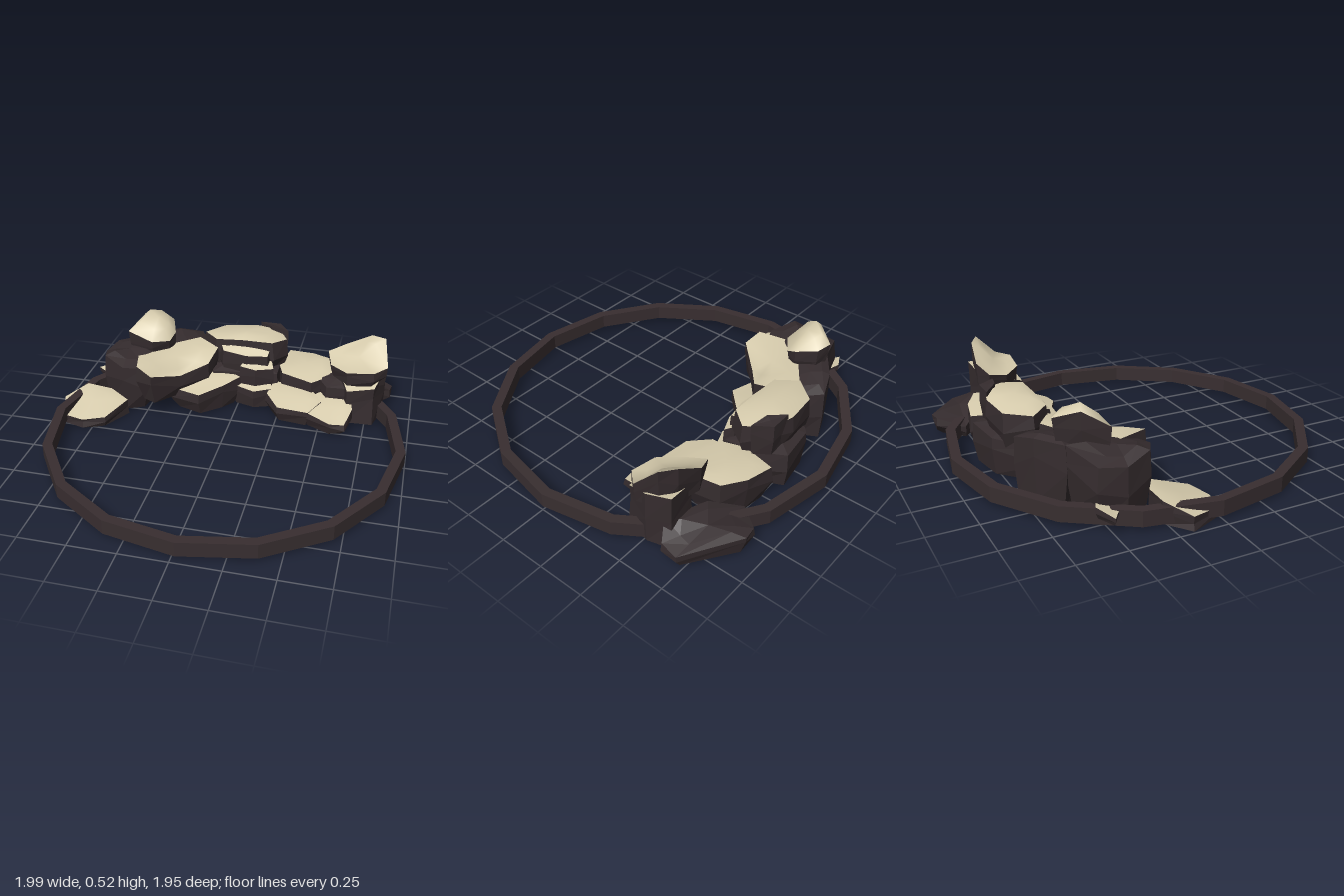
import * as THREE from 'three';

const dark = new THREE.MeshStandardMaterial({ color: 0x352c2e });
dark.name = 'dark stone';
dark.flatShading = true;
const cream = new THREE.MeshStandardMaterial({ color: 0xd8cdae, side: THREE.DoubleSide });
cream.name = 'pale sand';
const ringMat = new THREE.MeshStandardMaterial({ color: 0x382e30 });
ringMat.name = 'ring stone';

function geometryFrom(rows, indices, flat) {
  let g = new THREE.BufferGeometry();
  g.setAttribute('position', new THREE.Float32BufferAttribute(rows.flat(), 3));
  g.setIndex(indices);
  if (flat) g = g.toNonIndexed();
  g.computeVertexNormals();
  return g;
}

// Stitches equal loops of points from bottom to top
function bridge(indices, a, b, n) {
  for (let i = 0; i < n; i++) {
    const j = (i + 1) % n;
    indices.push(a + i, a + j, b + j, a + i, b + j, b + i);
  }
}

// A faceted boulder: corners are [x, z, topY]; the smooth cap is a separate mesh
function rock(name, corners, base, { dome = 0.02, foot = 0.85, belt = 1.04, cap = cream, open = false } = {}) {
  const n = corners.length;
  let area = 0;
  corners.forEach(([x, z], i) => {
    const [u, w] = corners[(i + 1) % n];
    area += x * w - u * z;
  });
  const pts = area > 0 ? [...corners].reverse() : corners;
  const c = [0, 1, 2].map(k => pts.reduce((s, p) => s + p[k], 0) / n);
  const loop = (scale, height) => pts.map((p, i) => {
    const s = scale(i);
    return [c[0] + (p[0] - c[0]) * s, height(p, i), c[1] + (p[1] - c[1]) * s];
  });

  // Sides with a slightly uneven belt
  const low = loop(i => foot + 0.05 * Math.sin(i * 2.3), () => base);
  const mid = loop(i => belt + 0.03 * Math.sin(i * 4.1),
    (p, i) => base + (p[2] - base) * (0.58 + 0.14 * Math.sin(i * 1.9)));
  const top = loop(() => 1, p => p[2]);
  const side = [];
  bridge(side, 0, n, n);
  bridge(side, n, 2 * n, n);
  if (!open) for (let i = 0; i < n; i++) side.push(3 * n, (i + 1) % n, i);
  const group = new THREE.Group();
  group.name = name;
  const body = new THREE.Mesh(geometryFrom([...low, ...mid, ...top, [c[0], base, c[1]]], side, true), dark);
  body.name = name + 'Sides';

  // Gently domed cap
  const inner = loop(() => 0.6, p => c[2] + (p[2] - c[2]) * 0.75 + dome);
  const face = [];
  bridge(face, 0, n, n);
  for (let i = 0; i < n; i++) face.push(n + i, n + (i + 1) % n, 2 * n);
  const lid = new THREE.Mesh(
    geometryFrom([...top, ...inner, [c[0], c[2] + dome * 1.3, c[1]]], face, cap === dark), cap);
  lid.name = name + 'Top';
  group.add(body, lid);
  return group;
}

// Sixteen-sided flat band
function ring() {
  const shape = new THREE.Shape();
  const hole = new THREE.Path();
  for (let i = 0; i < 16; i++) {
    const a = i * Math.PI / 8, cx = Math.cos(a), cy = Math.sin(a);
    shape[i ? 'lineTo' : 'moveTo'](0.977 * cx, 0.977 * cy);
    hole[i ? 'lineTo' : 'moveTo'](0.925 * cx, 0.925 * cy);
  }
  shape.holes.push(hole);
  const g = new THREE.ExtrudeGeometry(shape, { depth: 0.08, bevelEnabled: false });
  g.rotateX(-Math.PI / 2);
  g.translate(0.02, 0.02, 0);
  const m = new THREE.Mesh(g, ringMat);
  m.name = 'ring';
  return m;
}

export function createModel() {
  const model = new THREE.Group();
  model.name = 'rockArcOnRing';
  model.add(ring());

  // Left end of the arc
  model.add(
    rock('leftSlab', [[-0.98, -0.17, 0.07], [-0.87, -0.27, 0.12], [-0.72, -0.26, 0.11], [-0.6, -0.19, 0.09],
      [-0.68, -0.02, 0.06], [-0.8, 0.02, 0.05], [-0.92, -0.01, 0.05]], 0.0, { open: true, belt: 1, foot: 1.0, dome: 0.01 }),
    rock('leftSliver', [[-0.89, -0.51, 0.1], [-0.79, -0.56, 0.12], [-0.66, -0.5, 0.1], [-0.76, -0.42, 0.09]], 0.06,
      { dome: 0.0, belt: 1 }),
    rock('leftBoulder', [[-0.79, -0.4, 0.28], [-0.76, -0.53, 0.29], [-0.55, -0.6, 0.33], [-0.48, -0.42, 0.31],
      [-0.5, -0.24, 0.28], [-0.62, -0.2, 0.29], [-0.75, -0.27, 0.32]], 0.01, { cap: dark, foot: 0.87, belt: 1.05 }),
    rock('leftBackBoulder', [[-0.56, -0.6, 0.33], [-0.42, -0.7, 0.33], [-0.29, -0.75, 0.3], [-0.22, -0.65, 0.28],
      [-0.27, -0.5, 0.28], [-0.48, -0.46, 0.31]], 0.01, { cap: dark, foot: 0.92 }),
    rock('leftPeak', [[-0.65, -0.41, 0.42], [-0.58, -0.53, 0.49], [-0.5, -0.64, 0.45], [-0.43, -0.61, 0.43],
      [-0.39, -0.5, 0.4], [-0.41, -0.44, 0.37], [-0.5, -0.38, 0.38]], 0.28, { dome: 0.05, foot: 0.82, belt: 0.97 }),
    rock('leftShoulder', [[-0.58, -0.38, 0.31], [-0.4, -0.52, 0.32], [-0.27, -0.61, 0.33], [-0.14, -0.52, 0.32],
      [-0.17, -0.4, 0.27], [-0.31, -0.29, 0.23], [-0.44, -0.15, 0.28], [-0.53, -0.18, 0.32]], 0.1,
      { dome: 0.005, belt: 1.03 }),
  );

  // Middle of the arc
  model.add(
    rock('crown', [[-0.24, -0.63, 0.36], [-0.14, -0.75, 0.36], [0.04, -0.77, 0.37], [0.18, -0.74, 0.38],
      [0.25, -0.62, 0.37], [0.18, -0.53, 0.38], [0, -0.53, 0.38], [-0.15, -0.53, 0.37]], 0.17,
      { dome: 0.018, foot: 0.88, belt: 1.06 }),
    rock('crownCorner', [[0.07, -0.76, 0.4], [0.19, -0.76, 0.4], [0.25, -0.67, 0.4], [0.15, -0.69, 0.41]], 0.22,
      { cap: dark, dome: 0 }),
    rock('crownLedge', [[-0.13, -0.55, 0.345], [0.05, -0.56, 0.35], [0.17, -0.55, 0.34], [0.16, -0.49, 0.31],
      [0.04, -0.47, 0.31], [-0.1, -0.49, 0.32]], 0.12, { dome: 0.005 }),
    rock('lowerLedge', [[0.03, -0.52, 0.28], [0.18, -0.53, 0.27], [0.2, -0.48, 0.24], [0.1, -0.44, 0.24],
      [0.01, -0.45, 0.25]], 0.1, { dome: 0.003 }),
    rock('middleBase', [[-0.27, -0.62, 0.2], [-0.07, -0.79, 0.21], [0.14, -0.82, 0.22], [0.22, -0.68, 0.22],
      [0.22, -0.5, 0.2], [-0.15, -0.45, 0.2]], 0.01, { cap: dark, foot: 0.9 }),
    rock('middleFrontStone', [[-0.36, -0.3, 0.14], [-0.27, -0.43, 0.18], [-0.08, -0.49, 0.19], [0.01, -0.45, 0.18],
      [-0.07, -0.36, 0.16], [-0.19, -0.25, 0.14]], 0.01, { dome: 0.005, open: true }),
    rock('middleSmallStone', [[-0.03, -0.44, 0.13], [0.06, -0.5, 0.15], [0.18, -0.5, 0.15], [0.2, -0.44, 0.13],
      [0.1, -0.4, 0.12]], 0.01, { dome: 0.002 }),
  );

  // Right end of the arc
  model.add(
    rock('rightMiddleBoulder', [[0.21, -0.62, 0.21], [0.25, -0.8, 0.21], [0.4, -0.77, 0.22], [0.52, -0.7, 0.23],
      [0.54, -0.52, 0.22], [0.43, -0.44, 0.2], [0.25, -0.5, 0.21]], 0.01, { dome: 0.012, belt: 1.03 }),
    rock('rightFrontSlab', [[0.18, -0.4, 0.12], [0.2, -0.52, 0.14], [0.42, -0.49, 0.14], [0.5, -0.36, 0.13],
      [0.44, -0.27, 0.1], [0.26, -0.29, 0.1]], 0.01, { dome: 0.006 }),
    rock('rightOuterSlab', [[0.4, -0.38, 0.12], [0.5, -0.48, 0.14], [0.66, -0.45, 0.14], [0.68, -0.33, 0.12],
      [0.65, -0.22, 0.08], [0.57, -0.21, 0.08], [0.42, -0.28, 0.1]], 0.01, { dome: 0.006 }),
    rock('rightLowStone', [[0.46, -0.5, 0.21], [0.56, -0.56, 0.23], [0.66, -0.5, 0.24], [0.64, -0.4, 0.21],
      [0.52, -0.41, 0.2]], 0.05, { cap: dark, dome: 0.005 }),
    rock('rightPillar', [[0.58, -0.5, 0.27], [0.64, -0.63, 0.3], [0.8, -0.64, 0.32], [0.84, -0.52, 0.31],
      [0.79, -0.38, 0.24], [0.64, -0.37, 0.21]], 0.01, { foot: 1.02, belt: 0.99, dome: 0 }),
    rock('rightPeak', [[0.5, -0.61, 0.33], [0.6, -0.65, 0.37], [0.74, -0.63, 0.45], [0.82, -0.58, 0.46],
      [0.85, -0.46, 0.34], [0.78, -0.39, 0.33], [0.63, -0.4, 0.31], [0.53, -0.5, 0.3]], 0.23,
      { dome: -0.005, foot: 0.9, belt: 0.99 }),
    rock('rightBackSlab', [[0.43, -0.78, 0.08], [0.54, -0.91, 0.11], [0.61, -0.92, 0.11], [0.88, -0.73, 0.08],
      [0.87, -0.64, 0.1], [0.78, -0.58, 0.15], [0.56, -0.66, 0.14]], 0.01, { cap: dark, dome: 0.01, belt: 1 }),
  );
  return model;
}
